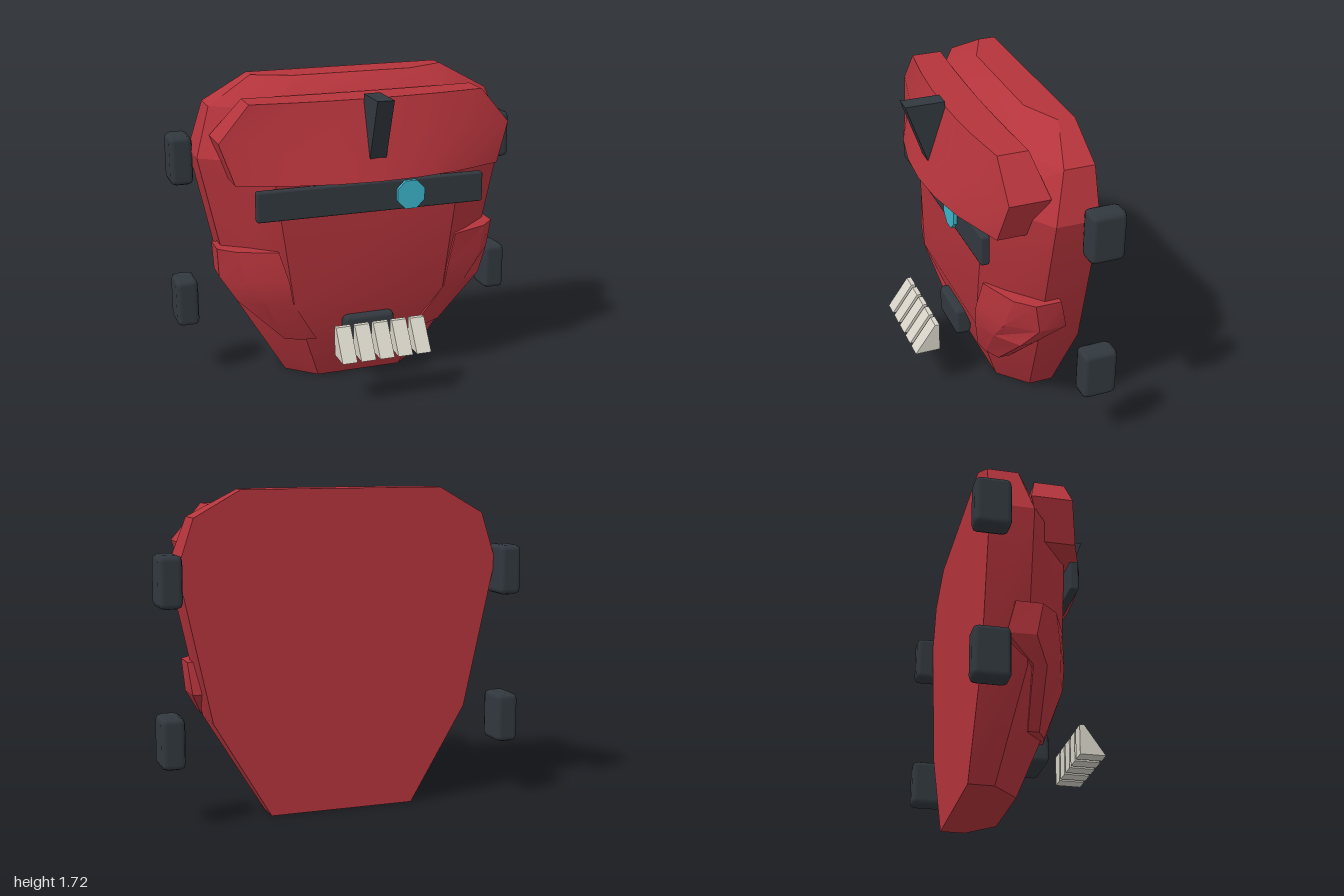
import * as THREE from 'three';
import { toCreasedNormals } from 'three/addons/utils/BufferGeometryUtils.js';
import { RoundedBoxGeometry } from 'three/addons/geometries/RoundedBoxGeometry.js';

const material = (name, color) => {
  const m = new THREE.MeshStandardMaterial({ color });
  m.name = name;
  return m;
};

// Closed solid from stacked loops of [x, z], counter-clockwise seen from above
function loft(rows) {
  const n = rows[0].loop.length, pos = [], idx = [];
  for (const { y, loop } of rows) for (const [x, z] of loop) pos.push(x, y, z);
  for (let i = 0; i < rows.length - 1; i++) {
    for (let j = 0; j < n; j++) {
      const a = i * n + j, b = i * n + (j + 1) % n;
      idx.push(a, b, b + n, a, b + n, a + n);
    }
  }
  const cap = ({ loop }) => THREE.ShapeUtils.triangulateShape(
    loop.map(([x, z]) => new THREE.Vector2(x, -z)), []);
  const top = (rows.length - 1) * n;
  for (const [a, b, c] of cap(rows[0])) idx.push(a, c, b);
  for (const [a, b, c] of cap(rows[rows.length - 1])) idx.push(top + a, top + b, top + c);
  const g = new THREE.BufferGeometry();
  g.setAttribute('position', new THREE.Float32BufferAttribute(pos, 3));
  g.setIndex(idx);
  return toCreasedNormals(g, 0.45);
}

// Side profile of [z, y] points given a width across x
function sideExtrude(points, width) {
  const shape = new THREE.Shape(points.map(p => new THREE.Vector2(...p)));
  return new THREE.ExtrudeGeometry(shape, { depth: width, bevelEnabled: false })
    .rotateY(-Math.PI / 2).translate(width / 2, 0, 0);
}

export function createModel() {
  const group = new THREE.Group();
  const red = material('red armour', 0xb5343c);
  const dark = material('dark metal', 0x31383e);
  const ivory = material('ivory', 0xd8d4c8);
  const cyan = material('cyan glow', 0x3cb4c9);
  const add = (name, geometry, mat, x = 0, y = 0, z = 0) => {
    const mesh = new THREE.Mesh(geometry, mat);
    mesh.name = name;
    mesh.position.set(x, y, z);
    group.add(mesh);
    return mesh;
  };

  // Head shell: flat back, chamfered front; rows of [y, half width, front z]
  const back = -0.33;
  const shellRows = [[0, 0.4, -0.05], [0.52, 0.71, 0.145], [1.32, 0.885, 0.145],
    [1.58, 0.8, 0.01], [1.72, 0.55, -0.145]].map(([y, w, front]) => {
    const side = back + (front - back) * 0.485, f = w * 0.61;
    return { y, loop: [[-f, front], [f, front], [w, side], [w, back], [-w, back], [-w, side]] };
  });
  add('headShell', loft(shellRows), red);

  // Bowed brow: rows of [y, half width, front z, front sweep, back z, back sweep]
  const steps = [-1, -0.62, -0.3, 0, 0.3, 0.62, 1];
  const browRows = [[1.22, 0.74, 0.31, 0.16, 0.03, 0.05], [1.44, 0.815, 0.235, 0.115, -0.02, 0.08],
    [1.635, 0.65, 0.17, 0.05, -0.025, 0.02]].map(([y, w, front, sweepF, rear, sweepR]) => ({
    y,
    loop: [
      ...steps.map(t => [t * w, front - sweepF * t * t]),
      ...steps.map(t => [-t * w, rear - sweepR * t * t]),
    ],
  }));
  add('brow', loft(browRows), red);

  // Wedge crest on the brow
  add('crest', sideExtrude([[0.17, 1.205], [0.222, 1.205], [0.385, 1.663], [0.17, 1.663]], 0.092), dark);

  // Visor band with one glowing eye
  add('visor', new RoundedBoxGeometry(1.28, 0.167, 0.05, 1, 0.012), dark, 0, 1.102, 0.17);
  const eye = new THREE.CylinderGeometry(0.084, 0.084, 0.024, 8)
    .rotateY(Math.PI / 8).rotateX(Math.PI / 2);
  add('eye', toCreasedNormals(eye, 0.4), cyan, 0.21, 1.103, 0.203);

  // Cheek guards, from inner edge round to the outer back
  const cheek = [
    { y: 0.28, loop: [[0.29, 0.08], [0.38, 0.065], [0.46, 0.02], [0.46, -0.04], [0.29, -0.04]] },
    { y: 0.53, loop: [[0.44, 0.15], [0.58, 0.1], [0.715, 0.0], [0.715, -0.07], [0.44, -0.07]] },
    { y: 0.655, loop: [[0.46, 0.155], [0.68, 0.08], [0.795, -0.07], [0.79, -0.22], [0.46, -0.2]] },
    { y: 0.825, loop: [[0.51, 0.135], [0.72, 0.05], [0.808, -0.04], [0.808, -0.18], [0.51, -0.18]] },
  ];
  const mirrored = cheek.map(({ y, loop }) => ({ y, loop: loop.map(([x, z]) => [-x, z]).reverse() }));
  add('leftCheek', loft(cheek), red);
  add('rightCheek', loft(mirrored), red);

  // Mouth block and row of teeth
  add('mouth', new RoundedBoxGeometry(0.29, 0.165, 0.095, 1, 0.025), dark, 0, 0.33, 0.107);
  const tooth = sideExtrude([[0.29, 0.265], [0.43, 0.265], [0.315, 0.43], [0.29, 0.43]], 0.083);
  for (let i = -2; i <= 2; i++) add('tooth', tooth, ivory, i * 0.106);

  // Side pods
  const pod = new RoundedBoxGeometry(0.125, 0.27, 0.19, 1, 0.03);
  for (const s of [1, -1]) {
    for (const [name, y] of [['UpperPod', 1.27], ['LowerPod', 0.45]]) {
      add((s > 0 ? 'left' : 'right') + name, pod, dark, s * 0.9375, y, -0.332);
    }
  }
  return group;
}
